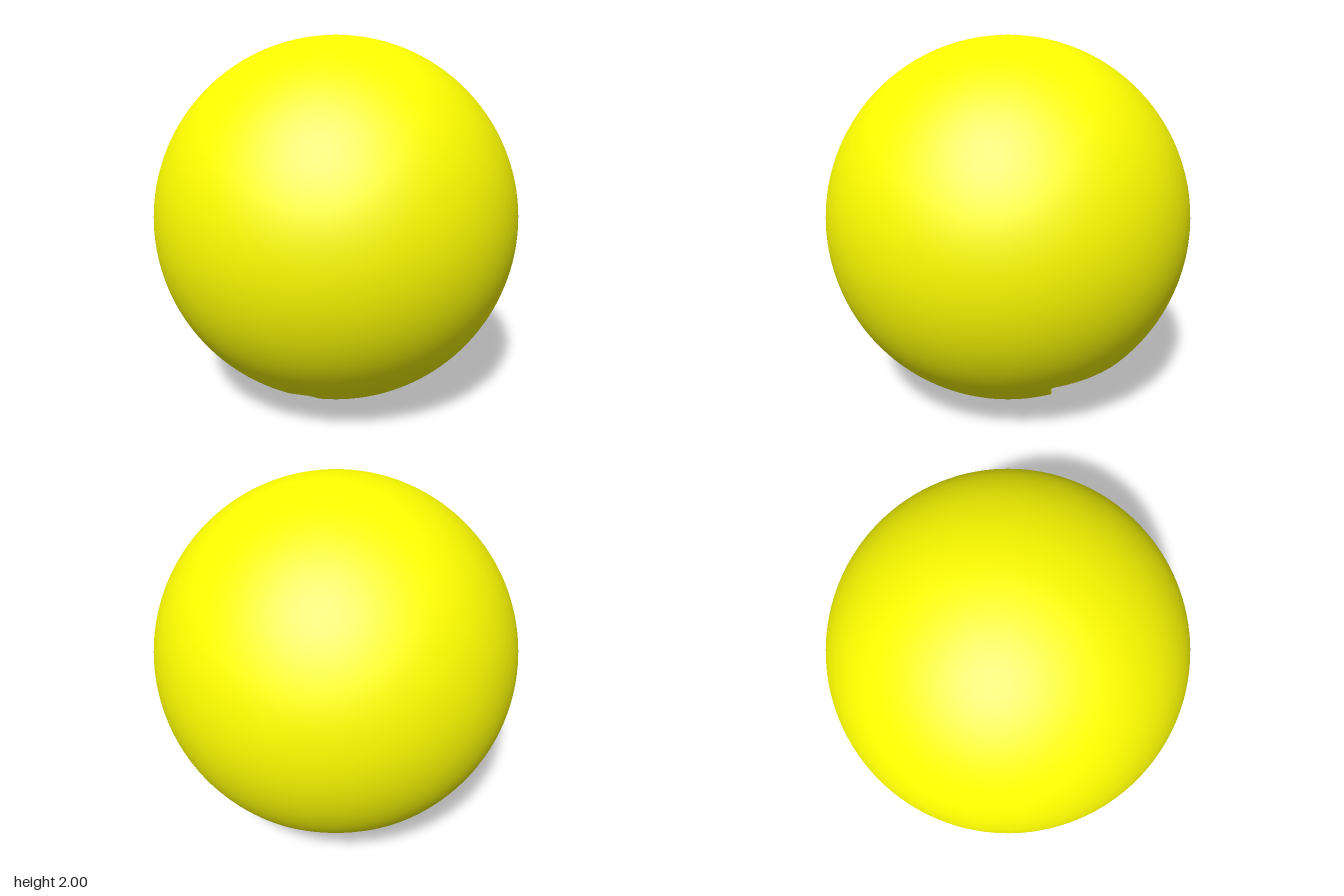
import * as THREE from 'three';
import { toCreasedNormals } from 'three/addons/utils/BufferGeometryUtils.js';

const OUTER = 1, INNER = 0.9, SHIFT = 0.008;
const yellow = new THREE.MeshStandardMaterial({ color: 0xffff00 });
const grey = new THREE.MeshStandardMaterial({ color: 0xcccccc });

// Upper lip line of the mouth, seen along y
const lipZ = x => -0.23 + 0.22 * x * x;

// Smooth minimum, rounds the mouth corners
function softMin(a, b, k) {
  const h = Math.max(k - Math.abs(a - b), 0) / k;
  return Math.min(a, b) - h * h * k * 0.25;
}

// Positive inside the eye and mouth openings, which run straight up
function opening(p) {
  if (p.y > 0) return -1;
  const x = p.x - SHIFT, z = p.z;
  const eye = (1 - Math.hypot((Math.abs(x) - 0.278) / 0.103, (z - 0.275) / 0.245)) * 0.1;
  const bowl = (1 - Math.hypot(x / 0.717, z / 0.768)) * 0.74;
  return Math.max(eye, softMin(lipZ(x) - z, bowl, 0.04));
}

// Point on the segment where the opening begins, set on the sphere
function crossing(p, q, radius) {
  let a = p.clone(), b = q.clone();
  const insideA = opening(a) > 0;
  for (let i = 0; i < 18; i++) {
    const m = a.clone().add(b).setLength(radius);
    if (opening(m) > 0 === insideA) a = m; else b = m;
  }
  return a;
}

// Sphere with the openings trimmed away; rim collects the cut edges
function trimmedSphere(radius, inward, rim) {
  const source = new THREE.SphereGeometry(radius, 144, 96).toNonIndexed().attributes.position;
  const positions = [], normals = [];
  const sign = inward ? -1 : 1;
  for (let t = 0; t < source.count; t += 3) {
    const tri = [0, 1, 2].map(k => new THREE.Vector3().fromBufferAttribute(source, t + k));
    const kept = tri.map(p => opening(p) <= 0);
    const poly = [];
    let leave = null, enter = null;
    for (let k = 0; k < 3; k++) {
      const n = (k + 1) % 3;
      if (kept[k]) poly.push(tri[k]);
      if (kept[k] !== kept[n]) {
        const c = crossing(tri[k], tri[n], radius);
        poly.push(c);
        if (kept[k]) leave = c; else enter = c;
      }
    }
    if (rim && leave && enter) rim.push([leave, enter]);
    for (let k = 1; k + 1 < poly.length; k++) {
      const face = inward ? [poly[0], poly[k + 1], poly[k]] : [poly[0], poly[k], poly[k + 1]];
      for (const p of face) {
        positions.push(p.x, p.y, p.z);
        normals.push(sign * p.x / radius, sign * p.y / radius, sign * p.z / radius);
      }
    }
  }
  const geometry = new THREE.BufferGeometry();
  geometry.setAttribute('position', new THREE.Float32BufferAttribute(positions, 3));
  geometry.setAttribute('normal', new THREE.Float32BufferAttribute(normals, 3));
  return geometry;
}

// Upright walls through the shell thickness, along the cut edges
function rimWalls(rim) {
  const positions = [];
  const raise = p => new THREE.Vector3(p.x, -Math.sqrt(INNER * INNER - p.x * p.x - p.z * p.z), p.z);
  for (const [a, b] of rim) {
    const a2 = raise(a), b2 = raise(b);
    for (const p of [b, a, a2, b, a2, b2]) positions.push(p.x, p.y, p.z);
  }
  const geometry = new THREE.BufferGeometry();
  geometry.setAttribute('position', new THREE.Float32BufferAttribute(positions, 3));
  return toCreasedNormals(geometry, 0.6);
}

// Square bar bent round the z axis and along the lip
function teethBar() {
  const geometry = new THREE.BoxGeometry(1.32, 1, 1, 64, 1, 1);
  const pos = geometry.attributes.position;
  for (let i = 0; i < pos.count; i++) {
    const x = pos.getX(i);
    const r = pos.getY(i) < 0 ? 0.9 : 0.8;
    const z = lipZ(x) - (pos.getZ(i) > 0 ? 0 : 0.108);
    pos.setXYZ(i, x + SHIFT, -Math.sqrt(r * r - x * x), z);
  }
  return toCreasedNormals(geometry, 0.6);
}

export function createModel() {
  const group = new THREE.Group();
  const add = (name, geometry, material) => {
    const mesh = new THREE.Mesh(geometry, material);
    mesh.name = name;
    mesh.position.y = 1;
    group.add(mesh);
  };
  const rim = [];
  add('outerShell', trimmedSphere(OUTER, false, rim), yellow);
  add('innerShell', trimmedSphere(INNER, true), yellow);
  add('eyeAndMouthWalls', rimWalls(rim), yellow);
  add('teeth', teethBar(), grey);
  return group;
}
